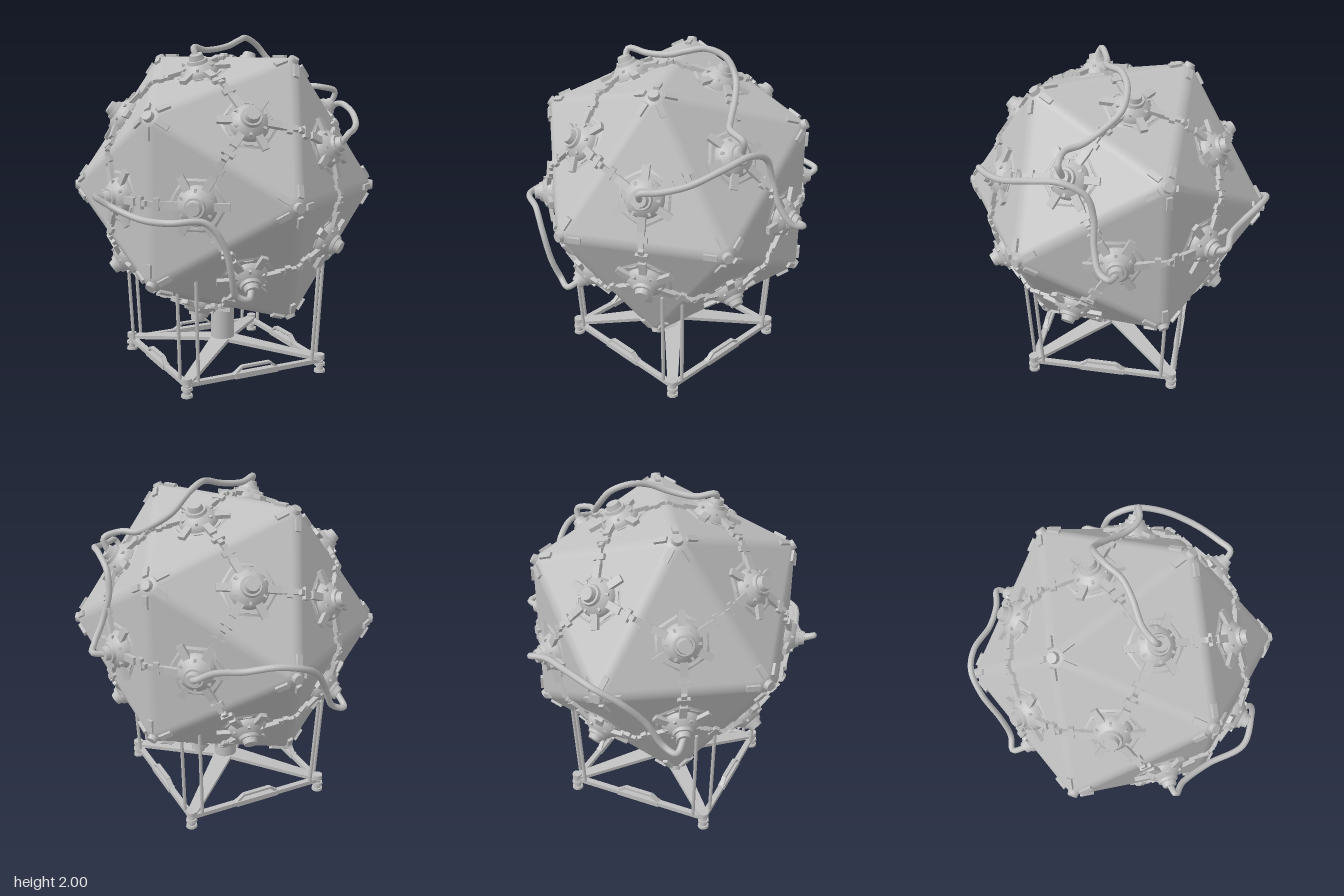
import * as THREE from 'three';

const V = (x, y, z) => new THREE.Vector3(x, y, z);
const CENTRE = V(0, 1.11, 0);
const R = 0.9, ROUND = 0.1, INRADIUS = R * 0.7947;
const INNER_R = (INRADIUS - ROUND) / 0.7947;

export function createModel() {
  const model = new THREE.Group();
  const grey = new THREE.MeshStandardMaterial({ color: 0xbfbfbf });
  grey.name = 'grey';

  const add = (parent, name, geo, x = 0, y = 0, z = 0) => {
    const m = new THREE.Mesh(geo, grey);
    m.name = name;
    m.position.set(x, y, z);
    parent.add(m);
    return m;
  };
  // Turn an object so its y axis is `up` and its z axis is `ahead`
  const orient = (o, up, ahead) => {
    const x = up.clone().cross(ahead).normalize();
    const z = x.clone().cross(up).normalize();
    o.quaternion.setFromRotationMatrix(new THREE.Matrix4().makeBasis(x, up, z));
    return o;
  };
  // Straight box bar from p to q; flare widens the q end
  const bar = (parent, name, p, q, w, h, flare = 1) => {
    const d = q.clone().sub(p);
    const g = new THREE.BoxGeometry(w, h, d.length());
    const a = g.attributes.position;
    for (let i = 0; i < a.count; i++) if (a.getZ(i) > 0) a.setX(i, a.getX(i) * flare);
    g.computeVertexNormals();
    const m = add(parent, name, g);
    m.position.copy(p).add(q).multiplyScalar(0.5);
    d.normalize();
    const side = V(0, 1, 0).cross(d).normalize();
    return orient(m, d.clone().cross(side).normalize(), d);
  };

  // Icosahedron directions: one pole forward, one pole back, two rings of five
  const dirs = [V(0, 0, 1), V(0, 0, -1)];
  for (let k = 0; k < 5; k++) {
    const a = k * Math.PI * 0.4, s = 2 / Math.sqrt(5), c = 1 / Math.sqrt(5);
    const d = V(s * Math.cos(a), s * Math.sin(a), c);
    dirs.push(d, d.clone().negate());
  }
  const near = (a, b) => a !== b && a.distanceTo(b) < 1.2;
  const body = new THREE.Group();
  body.name = 'body';
  body.position.copy(CENTRE);
  model.add(body);

  // Shared pieces
  const ballGeo = new THREE.SphereGeometry(ROUND, 40, 28);
  const half = THREE.MathUtils.degToRad(20.91);
  const stripGeo = new THREE.CylinderGeometry(ROUND, ROUND, INNER_R * 1.0515, 8, 1, true, -half, half * 2);
  const capGeo = new THREE.CylinderGeometry(0.028, 0.034, 0.03, 10);
  const armGeo = new THREE.BoxGeometry(0.032, 0.022, 0.075);
  const padGeo = new THREE.CylinderGeometry(0.15, 0.165, 0.008, 6);
  const podGeo = new THREE.LatheGeometry(
    [[0.112, 0], [0.108, 0.025], [0.095, 0.045], [0.07, 0.064], [0.06, 0.07]].map(p => new THREE.Vector2(...p)), 32);
  const collarGeo = new THREE.CylinderGeometry(0.055, 0.062, 0.022, 24);
  const tipGeo = new THREE.CylinderGeometry(0.037, 0.046, 0.035, 12);
  const finGeo = new THREE.BoxGeometry(0.042, 0.024, 0.09);
  const slotGeo = new THREE.BoxGeometry(0.05, 0.008, 0.009);
  const studGeo = new THREE.BoxGeometry(0.014, 0.014, 0.02);
  const linkGeo = new THREE.BoxGeometry(0.03, 0.024, 0.12);
  const clampGeo = new THREE.BoxGeometry(0.07, 0.026, 0.032);

  // Rounded corners with five-armed brackets
  dirs.forEach(d => {
    const c = d.clone().multiplyScalar(INNER_R);
    add(body, 'corner', ballGeo).position.copy(c);
    const cap = add(body, 'cornerCap', capGeo);
    cap.position.copy(d).multiplyScalar(INNER_R + ROUND + 0.005);
    orient(cap, d, V(0.31, 0.83, 0.47));
    dirs.filter(e => near(d, e)).forEach(e => {
      const along = e.clone().sub(d).normalize();
      const up = d.clone().add(e).normalize();
      const arm = add(body, 'cornerArm', armGeo);
      arm.position.copy(c).addScaledVector(along, 0.035).addScaledVector(up, ROUND + 0.004);
      orient(arm, up, along);
    });
  });

  // Sensor pod for each face
  const makePod = () => {
    const pod = new THREE.Group();
    pod.name = 'pod';
    add(pod, 'podPad', padGeo, 0, 0.004, 0);
    add(pod, 'podDome', podGeo);
    add(pod, 'podCollar', collarGeo, 0, 0.077, 0);
    add(pod, 'podTip', tipGeo, 0, 0.1, 0);
    for (let k = 0; k < 6; k++) {
      const spoke = new THREE.Group();
      spoke.name = 'podSpoke';
      spoke.rotation.y = k * Math.PI / 3;
      add(spoke, 'fin', finGeo, 0, 0.026, 0.133).rotation.x = 0.12;
      if (k % 2) {
        add(spoke, 'link', linkGeo, 0, 0.006, 0.21);
        add(spoke, 'edgeClamp', clampGeo, 0, 0.009, 0.222);
      }
      pod.add(spoke);
      const between = new THREE.Group();
      between.name = 'padDetail';
      between.rotation.y = (k + 0.5) * Math.PI / 3;
      add(between, 'padSlot', slotGeo, 0, 0.009, 0.127);
      add(between, 'stud', studGeo, 0, 0.052, 0.088);
      pod.add(between);
    }
    return pod;
  };

  // Rounded edges, flat faces and pods
  const tri = [];
  for (let i = 0; i < 12; i++) for (let j = i + 1; j < 12; j++) {
    if (!near(dirs[i], dirs[j])) continue;
    const strip = add(body, 'roundedEdge', stripGeo);
    const mid = dirs[i].clone().add(dirs[j]);
    strip.position.copy(mid).multiplyScalar(INNER_R / 2);
    orient(strip, dirs[j].clone().sub(dirs[i]).normalize(), mid.normalize());
    for (let k = j + 1; k < 12; k++) {
      if (!near(dirs[i], dirs[k]) || !near(dirs[j], dirs[k])) continue;
      let [a, b, c] = [dirs[i], dirs[j], dirs[k]];
      const n = a.clone().add(b).add(c).normalize();
      if (b.clone().sub(a).cross(c.clone().sub(a)).dot(n) < 0) [b, c] = [c, b];
      [a, b, c].forEach(v => tri.push(...v.clone().multiplyScalar(INNER_R).addScaledVector(n, ROUND).toArray()));
      const pod = makePod();
      pod.position.copy(n).multiplyScalar(INRADIUS);
      body.add(orient(pod, n, a.clone().addScaledVector(n, -a.dot(n))));
    }
  }
  const faces = new THREE.BufferGeometry();
  faces.setAttribute('position', new THREE.Float32BufferAttribute(tri, 3));
  faces.computeVertexNormals();
  add(body, 'faces', faces);

  // Loose cables between pods
  const cables = [
    [[-.81, 1.11, .155], [-.87, 1.13, .18], [-.8, 1.08, .23], [-.7, 1.03, .4], [-.62, 1.04, .62], [-.45, 1.04, .7],
      [-.36, .92, .73], [-.31, .75, .72], [-.27, .63, .69], [-.2, .6, .7], [-.155, .64, .65]],
    [[.4, 1.4, .65], [.43, 1.46, .68], [.5, 1.47, .62], [.6, 1.5, .5], [.68, 1.56, .32], [.71, 1.585, .15],
      [.71, 1.52, .02], [.72, 1.4, -.02], [.77, 1.25, -.03], [.84, 1.14, -.07], [.87, 1.12, -.13], [.81, 1.11, -.155]],
    [[-.245, 1.87, .15], [-.25, 1.925, .12], [-.15, 1.91, .07], [0, 1.93, .04], [.1, 1.965, 0], [.18, 1.98, -.07],
      [.28, 1.94, -.12], [.36, 1.85, -.11], [.43, 1.77, -.03], [.5, 1.7, .08], [.57, 1.69, .16], [.67, 1.66, .17], [.65, 1.58, .15]],
    [[.5, 1.11, -.65], [.51, 1.14, -.71], [.4, 1.16, -.72], [.27, 1.16, -.77], [.12, 1.2, -.87], [0, 1.18, -.9],
      [-.13, 1.1, -.86], [-.24, .95, -.78], [-.32, .8, -.74], [-.4, .77, -.74], [-.405, .82, -.65]],
  ];
  cables.forEach(pts => {
    const curve = new THREE.CatmullRomCurve3(pts.map(p => V(...p)));
    add(model, 'cable', new THREE.TubeGeometry(curve, 90, 0.018, 10));
  });

  // Stand: column, crossed arms, square frame, feet, rods and handles
  const stand = new THREE.Group();
  stand.name = 'stand';
  stand.position.set(-0.012, 0, 0.005);
  model.add(stand);
  add(stand, 'column', new THREE.CylinderGeometry(0.071, 0.071, 0.36, 32), 0, 0.33, 0);
  const footGeo = new THREE.CylinderGeometry(0.032, 0.034, 0.016, 20);
  const stemGeo = new THREE.CylinderGeometry(0.022, 0.022, 0.06, 16);
  const nutGeo = new THREE.CylinderGeometry(0.03, 0.03, 0.03, 16);
  const S = 0.437;
  for (let k = 0; k < 4; k++) {
    const side = new THREE.Group();
    side.name = 'standSide';
    side.rotation.y = k * Math.PI / 2;
    stand.add(side);
    bar(side, 'frameRail', V(-S, 0.073, S), V(S, 0.073, S), 0.034, 0.026);
    bar(side, 'crossArm', V(S, 0.085, S), V(0, 0.155, 0), 0.06, 0.022, 2);
    add(side, 'footPad', footGeo, S, 0.008, S);
    add(side, 'footCollar', footGeo, S, 0.05, S);
    add(side, 'footStem', stemGeo, S, 0.04, S);
    add(side, 'cornerNut', nutGeo, S, 0.095, S);
    [[0.372, 0.45, 0.395, 0.475], [0.45, 0.372, 0.475, 0.395]].forEach(([x, z, x2, z2]) => {
      const path = new THREE.LineCurve3(V(x, 0.08, z), V(x2, 0.7, z2));
      add(side, 'rod', new THREE.TubeGeometry(path, 1, 0.011, 8));
      add(side, 'rodTip', new THREE.SphereGeometry(0.011, 8, 6), x2, 0.7, z2);
    });
    const grip = [V(-0.14, 0.08, S), V(-0.09, 0.12, S), V(0.09, 0.12, S), V(0.14, 0.08, S)];
    for (let i = 0; i < 3; i++) bar(side, 'handle', grip[i], grip[i + 1], 0.026, 0.014);
    bar(side, 'handlePlate', V(-0.14, 0.073, S), V(0.14, 0.073, S), 0.042, 0.032);
  }
  return model;
}
